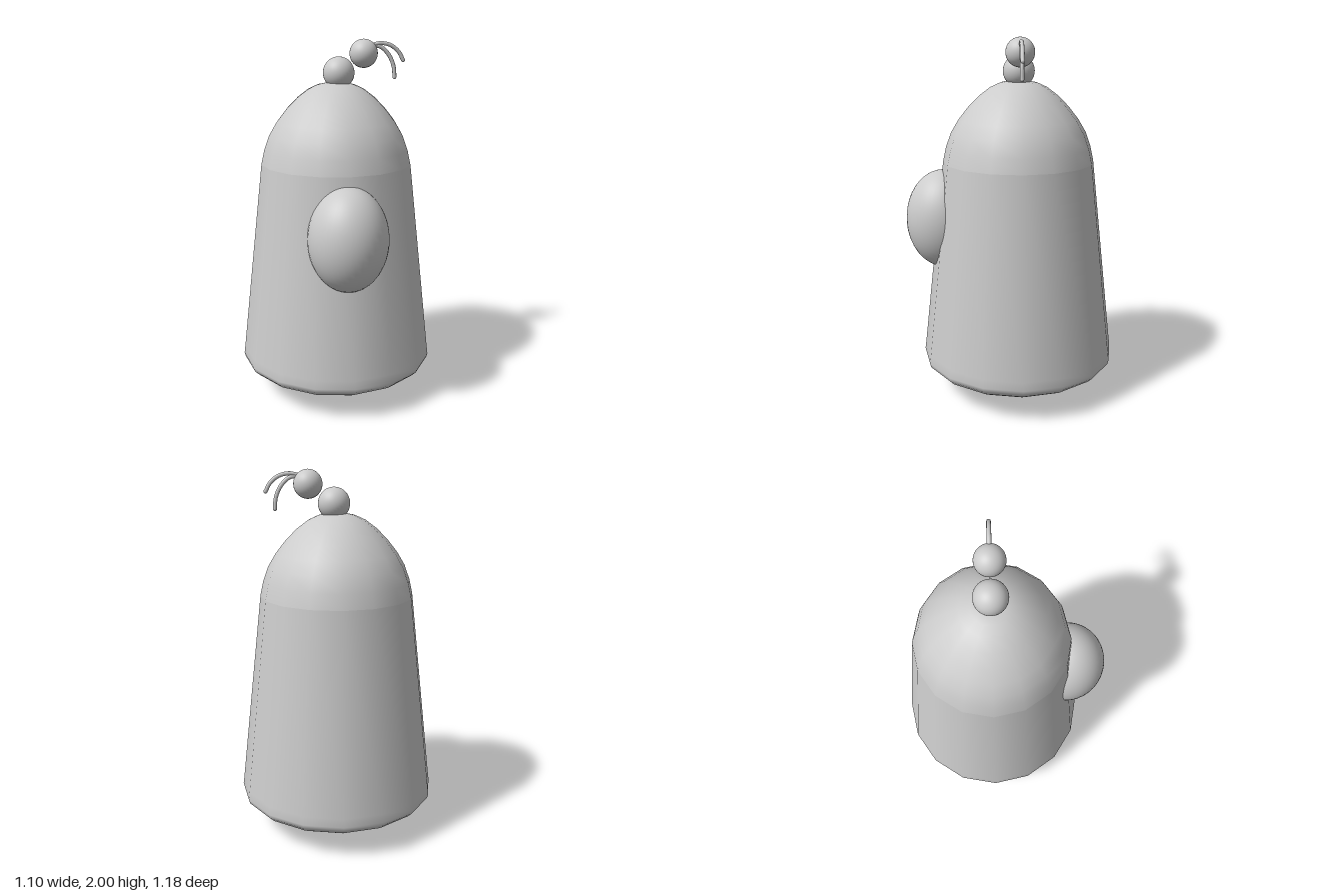
import * as THREE from 'three';

export function createModel() {
  const model = new THREE.Group();
  const material = new THREE.MeshStandardMaterial({ color: 0xcccccc });
  const axisZ = -0.04; // body axis sits slightly behind the origin

  function add(name, geometry, x, y, z, parent = model) {
    const mesh = new THREE.Mesh(geometry, material);
    mesh.name = name;
    mesh.position.set(x, y, z);
    parent.add(mesh);
    return mesh;
  }
  const lathe = (points) =>
    new THREE.LatheGeometry(points.map(([r, y]) => new THREE.Vector2(r, y)), 16);

  // Tapered body with a shallow rounded underside
  add('body', lathe([
    [0, 0], [0.015, 0.006], [0.12, 0.012], [0.21, 0.022], [0.29, 0.042], [0.38, 0.085],
    [0.47, 0.127], [0.52, 0.157], [0.545, 0.182], [0.551, 0.205], [0.545, 0.25], [0.419, 1.33],
  ]), 0, 0, axisZ);

  // Domed top of the body
  add('dome', lathe([
    [0.419, 1.33], [0.401, 1.41], [0.372, 1.49], [0.33, 1.56], [0.275, 1.63],
    [0.215, 1.69], [0.155, 1.735], [0.1, 1.76], [0.055, 1.769], [0, 1.771],
  ]), 0, 0, axisZ);

  // Oval bulge on the front
  const bulge = add('frontBulge', new THREE.SphereGeometry(1, 40, 28), -0.013, 1.0, 0.38);
  bulge.scale.set(0.213, 0.28, 0.213);

  // Two balls on top, the upper one leaning to the left
  add('lowerBall', new THREE.SphereGeometry(0.086, 32, 24), 0.015, 1.822, axisZ);
  add('upperBall', new THREE.SphereGeometry(0.077, 32, 24), 0.153, 1.923, axisZ);

  // Two drooping strands with rounded tips
  const strands = new THREE.Group();
  strands.name = 'strands';
  strands.position.z = axisZ;
  model.add(strands);
  const paths = [
    [[0.2, 1.968], [0.25, 1.977], [0.305, 1.965], [0.35, 1.93], [0.376, 1.885]],
    [[0.2, 1.965], [0.25, 1.956], [0.294, 1.915], [0.322, 1.855], [0.329, 1.794]],
  ];
  for (const path of paths) {
    const curve = new THREE.CatmullRomCurve3(path.map(([x, y]) => new THREE.Vector3(x, y, 0)));
    add('strand', new THREE.TubeGeometry(curve, 24, 0.011, 10), 0, 0, 0, strands);
    const [x, y] = path[path.length - 1];
    add('strandTip', new THREE.SphereGeometry(0.011, 10, 8), x, y, 0, strands);
  }

  return model;
}
